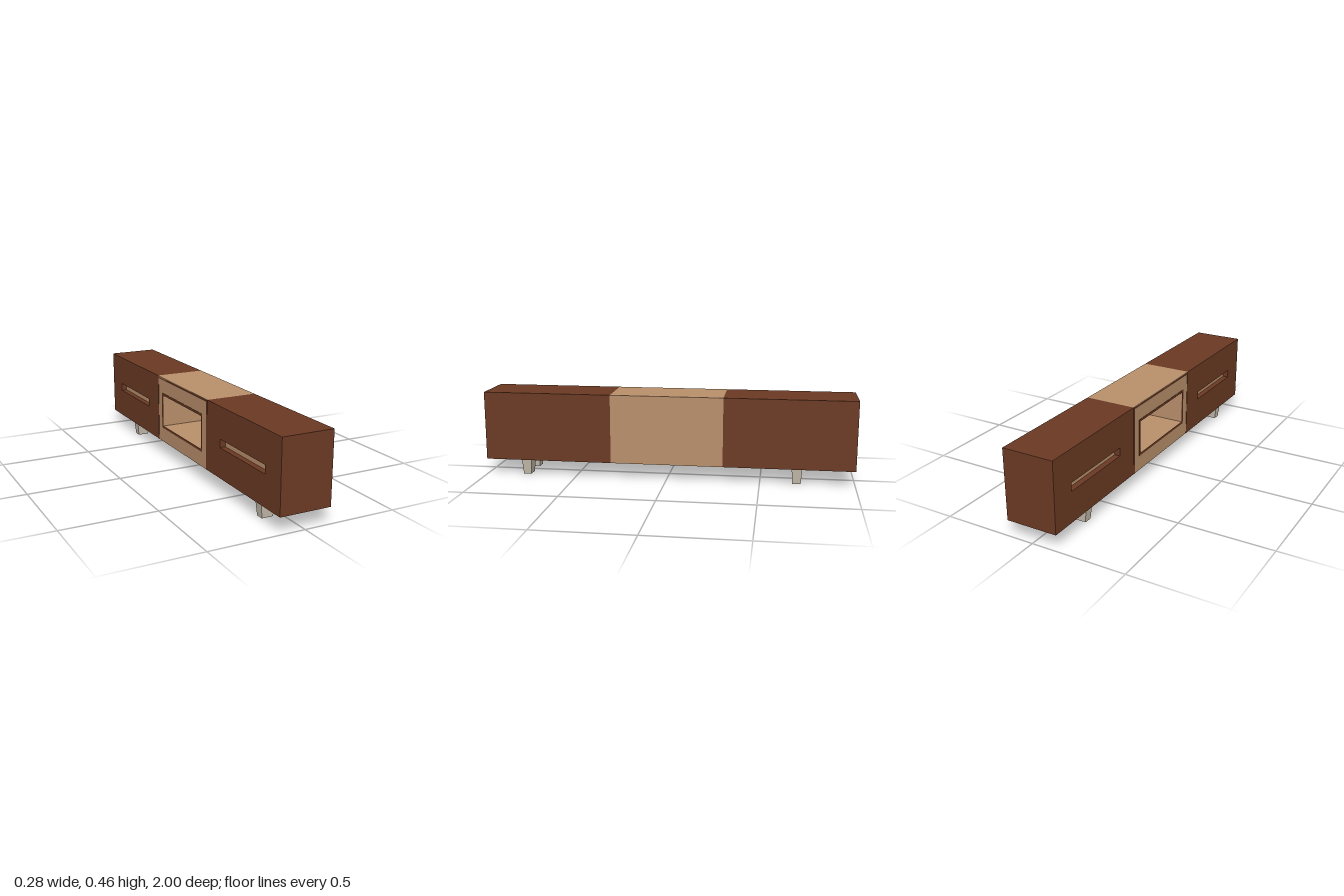
import * as THREE from 'three';

export function createModel() {
  const model = new THREE.Group();
  const brown = new THREE.MeshStandardMaterial({ color: 0x6b3a23 });
  brown.name = 'dark brown wood';
  const tan = new THREE.MeshStandardMaterial({ color: 0xb98f6b });
  tan.name = 'light tan wood';
  const pale = new THREE.MeshStandardMaterial({ color: 0xc4baab });
  pale.name = 'pale legs';

  const X = 0.137, Y0 = 0.085, Y1 = 0.458, MID = 0.303;

  const add = (name, geometry, material) => {
    const mesh = new THREE.Mesh(geometry, material);
    mesh.name = name;
    model.add(mesh);
  };

  // Box given by its limits on each axis
  const box = (name, material, x0, x1, y0, y1, z0, z1) =>
    add(name, new THREE.BoxGeometry(x1 - x0, y1 - y0, z1 - z0)
      .translate((x0 + x1) / 2, (y0 + y1) / 2, (z0 + z1) / 2), material);

  // Rectangle in the z-y plane with a rectangular hole, extruded along x
  const corners = ([z0, z1, y0, y1]) => [
    new THREE.Vector2(-z1, y0), new THREE.Vector2(-z0, y0),
    new THREE.Vector2(-z0, y1), new THREE.Vector2(-z1, y1),
  ];
  const pierced = (name, material, outer, hole, x0, x1) => {
    const shape = new THREE.Shape(corners(outer));
    shape.holes.push(new THREE.Path(corners(hole)));
    const geometry = new THREE.ExtrudeGeometry(shape, { depth: x1 - x0, bevelEnabled: false });
    add(name, geometry.rotateY(Math.PI / 2).translate(x0, 0, 0), material);
  };

  // Side cabinets, each with a slotted drawer face
  const slotDepth = 0.035;
  for (const [side, z0, z1] of [['Back', -1, -MID], ['Front', MID, 1]]) {
    const c = (z0 + z1) / 2;
    const slot = [c - 0.213, c + 0.213, 0.246, 0.29];
    pierced('drawerFace' + side, brown, [z0, z1, Y0, Y1], slot, -X, -X + slotDepth);
    box('cabinet' + side, brown, -X + slotDepth, X, Y0, Y1, z0, z1);
    box('slotBacking' + side, tan, -X + slotDepth - 0.004, -X + slotDepth + 0.001,
      slot[2], slot[3], slot[0], slot[1]);
  }

  // Open centre compartment and its back board
  const opening = [-0.235, 0.235, 0.178, 0.358];
  const boardX = X - 0.022;
  pierced('centreCompartment', tan, [-MID, MID, Y0, Y1], opening, -X, boardX);
  box('compartmentBack', tan, boardX, X, Y0, Y1, -MID, MID);

  // Thin dark trim around the opening and along the panel's edges
  const t = 0.012;
  pierced('openingTrim', brown,
    [opening[0] - t, opening[1] + t, opening[2] - t, opening[3] + t],
    opening, -X - 0.002, -X);
  for (const s of [-1, 1]) {
    const c = s * (MID - 0.005);
    box('panelEdgeTrim', brown, -X - 0.002, -X, Y0, Y1, c - 0.005, c + 0.005);
  }
  box('panelTopTrim', brown, -X - 0.002, -X, Y1 - 0.012, Y1 - 0.005, -MID + 0.01, MID - 0.01);

  // Four tapered square legs
  for (const z of [0.78, -0.695]) {
    for (const s of [-1, 1]) {
      const leg = new THREE.CylinderGeometry(Math.SQRT1_2, Math.SQRT1_2 * 0.78, Y0, 4)
        .rotateY(Math.PI / 4).toNonIndexed();
      leg.computeVertexNormals();
      leg.scale(0.077, 1, 0.056).translate(s * 0.078, Y0 / 2, z);
      add('leg', leg, pale);
    }
  }
  return model;
}
